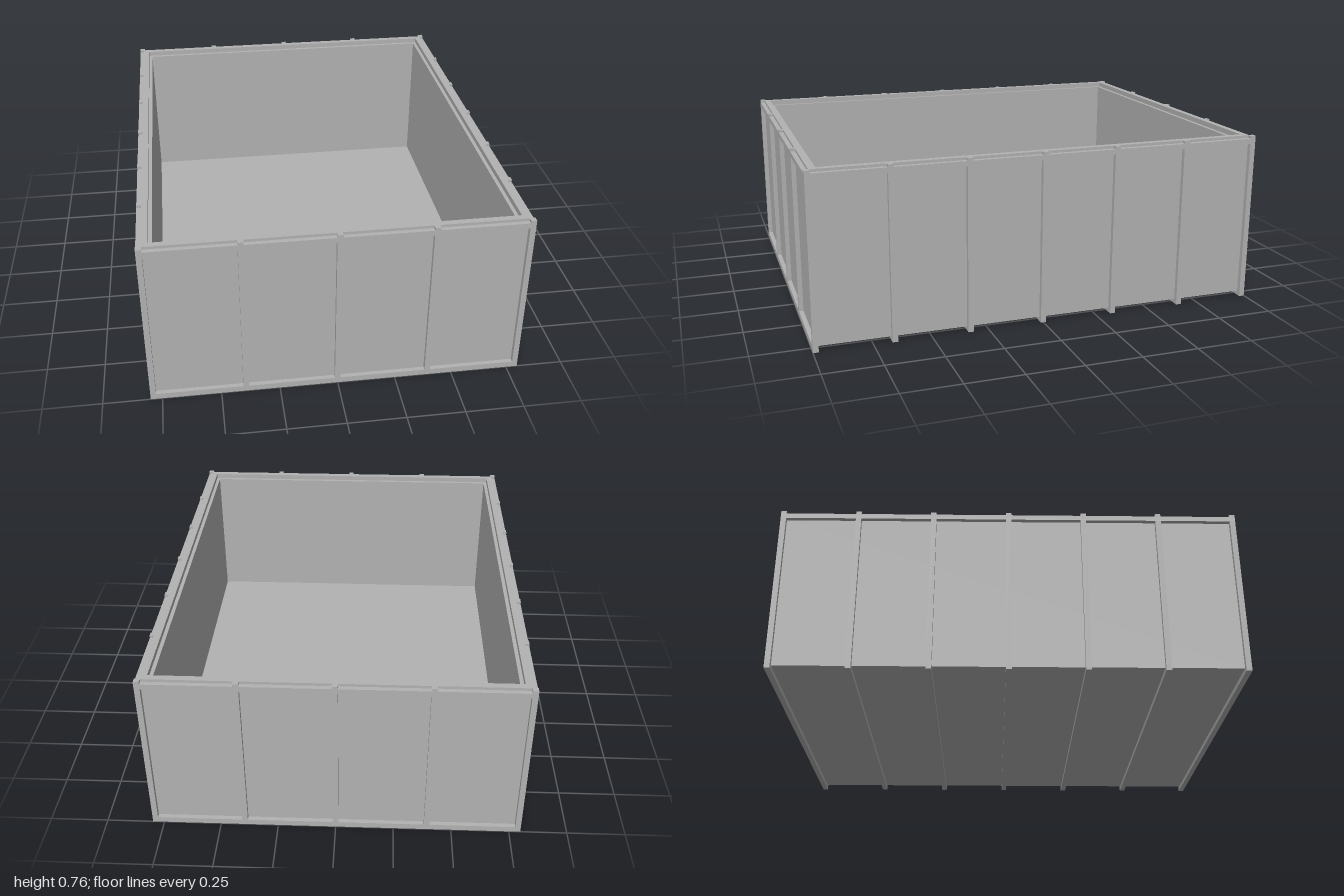
import * as THREE from 'three';

const W = 0.8, L = 1, H = 0.76;      // half width, half length, height
const RIB = 0.024, OUT = 0.02;       // rib width, rib projection
const BASE = 0.019;                  // underside of the floor

export function createModel() {
  const group = new THREE.Group();
  const steel = new THREE.MeshStandardMaterial({ color: 0xb2b2b2 });
  steel.name = 'grey steel';

  // box given by its minimum and maximum corners
  const box = (name, x0, x1, y0, y1, z0, z1) => {
    const m = new THREE.Mesh(new THREE.BoxGeometry(x1 - x0, y1 - y0, z1 - z0), steel);
    m.position.set((x0 + x1) / 2, (y0 + y1) / 2, (z0 + z1) / 2);
    m.name = name;
    group.add(m);
  };

  const rect = (Type, hx, hz) => {
    const p = new Type();
    p.moveTo(-hx, -hz);
    p.lineTo(hx, -hz);
    p.lineTo(hx, hz);
    p.lineTo(-hx, hz);
    p.closePath();
    return p;
  };

  // rectangular ring between two insets from the outer footprint
  const ring = (name, outer, inner, y0, y1) => {
    const s = rect(THREE.Shape, W - outer, L - outer);
    s.holes.push(rect(THREE.Path, W - inner, L - inner));
    const g = new THREE.ExtrudeGeometry(s, { depth: y1 - y0, bevelEnabled: false });
    g.rotateX(-Math.PI / 2);
    g.translate(0, y0, 0);
    const m = new THREE.Mesh(g, steel);
    m.name = name;
    group.add(m);
  };

  // tub: walls with a stepped inner rim, and a thick floor
  ring('walls', OUT, 0.064, BASE, 0.737);
  ring('rim', OUT, 0.048, 0.737, H);
  ring('upperRail', 0, OUT, 0.725, 0.748);
  box('floor', -W + 0.064, W - 0.064, BASE, 0.07, -L + 0.064, L - 0.064);

  // side ribs and the cross beams under the floor
  const h = RIB / 2;
  for (let i = -3; i <= 3; i++) {
    const z = (i * (L - h)) / 3;
    const end = Math.abs(i) === 3;
    const depth = end ? RIB : OUT;
    box('crossBeam', -W, W, 0, end ? 0.026 : BASE, z - h, z + h);
    box('leftRib', W - depth, W, 0, H, z - h, z + h);
    box('rightRib', -W, -W + depth, 0, H, z - h, z + h);
  }

  // front and back ribs
  for (let i = -1; i <= 1; i++) {
    const x = (i * (W - h)) / 2;
    box('frontRib', x - h, x + h, 0, H, L - OUT, L);
    box('backRib', x - h, x + h, 0, H, -L, -L + OUT);
  }

  return group;
}
